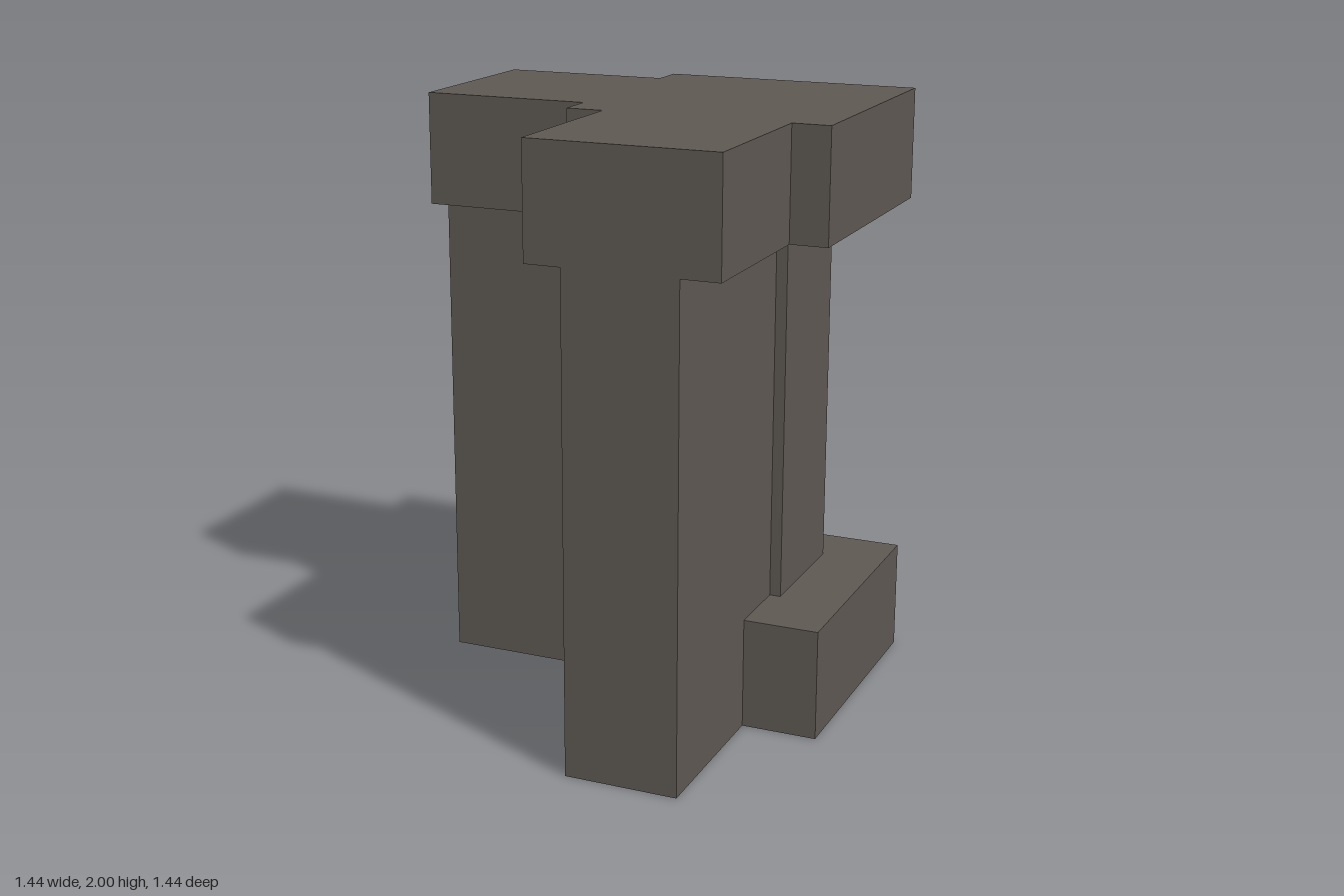
import * as THREE from 'three';

const stone = new THREE.MeshStandardMaterial({ color: 0x5e5852 });
stone.name = 'dark stone';

// Extrude a floor plan, given as [x, z] corners, between two heights
function tier(name, plan, bottom, top) {
  const shape = new THREE.Shape(plan.map(([x, z]) => new THREE.Vector2(x, -z)));
  const geometry = new THREE.ExtrudeGeometry(shape, { depth: top - bottom, bevelEnabled: false });
  geometry.rotateX(-Math.PI / 2);
  const mesh = new THREE.Mesh(geometry, stone);
  mesh.name = name;
  mesh.position.y = bottom;
  return mesh;
}

// Corner block with one wing towards -x and one towards +z.
// block: x0, x1, z0, z1; sideWing: z0, z1; frontWing: x0, x1
function cornerPlan([bx0, bx1, bz0, bz1], [sz0, sz1], [fx0, fx1]) {
  const end = 0.72;
  return [
    [bx0, bz0], [bx0, sz0], [-end, sz0], [-end, sz1], [bx0, sz1], [bx0, bz1],
    [fx0, bz1], [fx0, end], [fx1, end], [fx1, bz1], [bx1, bz1], [bx1, bz0],
  ];
}

export function createModel() {
  const group = new THREE.Group();
  group.name = 'cornerWall';

  const blockSize = [-0.157, 0.718, -0.72, 0.155];
  const wallZ = [-0.465, -0.088];
  const wallX = [0.088, 0.465];

  // Square plinth with the two walls running through it
  group.add(tier('base', cornerPlan(blockSize, wallZ, wallX), 0, 0.373));

  // Corner post standing slightly proud of the two walls
  group.add(tier('postAndWalls', [
    [0.088, -0.53], [0.088, -0.465], [-0.72, -0.465], [-0.72, -0.088],
    [0.088, -0.088], [0.088, 0.72], [0.465, 0.72], [0.465, -0.088],
    [0.503, -0.088], [0.503, -0.53],
  ], 0.373, 1.628));

  // Overhanging coping with wider wings
  group.add(tier('cap', cornerPlan(blockSize, [-0.597, 0.027], [-0.032, 0.592]), 1.628, 2));

  return group;
}
